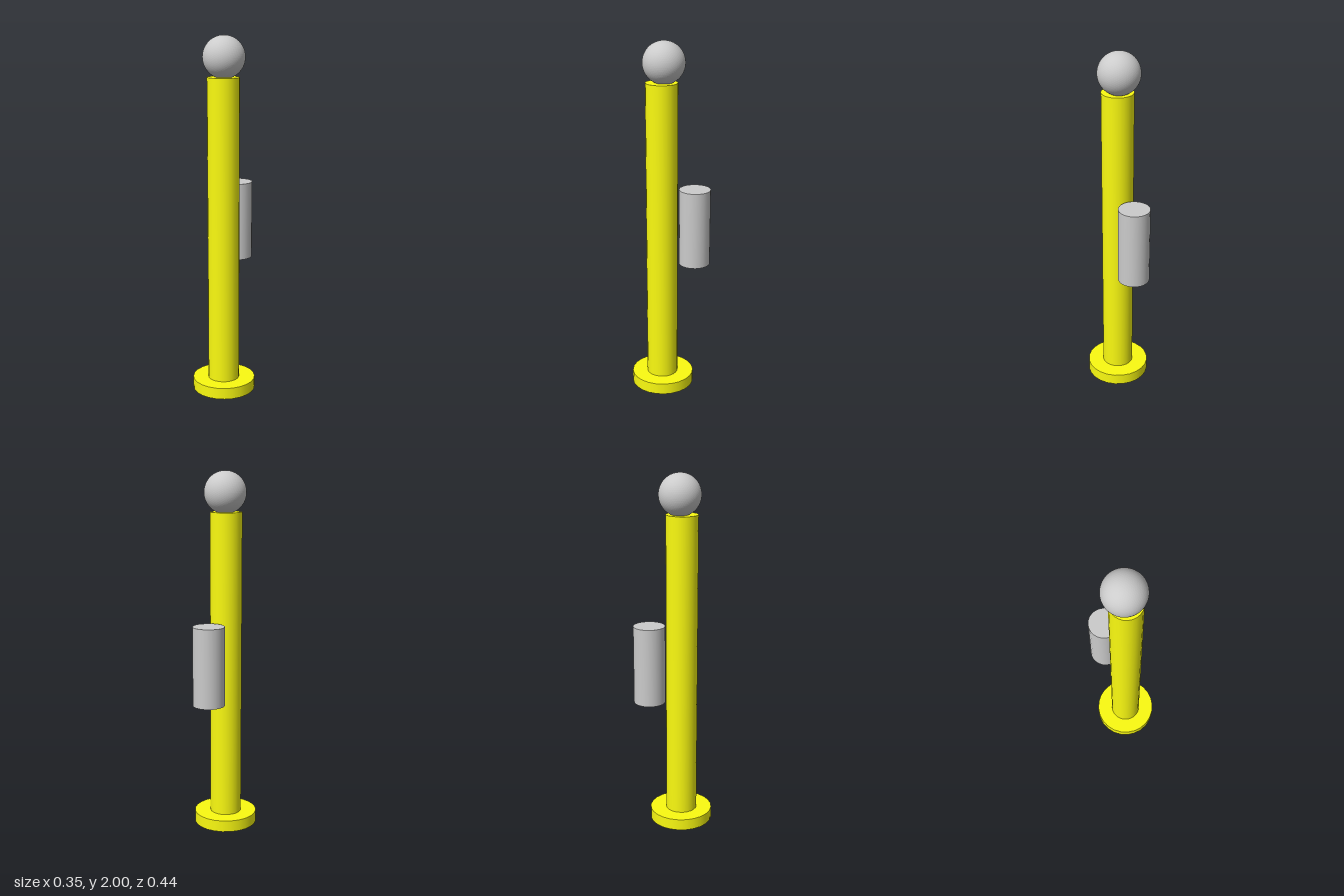
import * as THREE from 'three';

export function createModel() {
  const model = new THREE.Group();
  const yellow = new THREE.MeshStandardMaterial({ color: 0xfbfb11 });
  const grey = new THREE.MeshStandardMaterial({ color: 0xcccccc });

  // Upright cylinder spanning y0 to y1
  function column(name, radius, y0, y1, x, z, material) {
    const mesh = new THREE.Mesh(new THREE.CylinderGeometry(radius, radius, y1 - y0, 24), material);
    mesh.position.set(x, (y0 + y1) / 2, z);
    mesh.name = name;
    model.add(mesh);
  }

  // Round foot and tall post
  column('base', 0.177, 0, 0.065, 0, 0.04, yellow);
  column('post', 0.088, 0.065, 1.78, 0, 0.042, yellow);

  // Canister attached behind the post
  column('canister', 0.088, 0.74, 1.18, -0.064, -0.131, grey);

  // Finely faceted ball on top
  const ballMaterial = grey.clone();
  ballMaterial.flatShading = true;
  const ball = new THREE.Mesh(new THREE.IcosahedronGeometry(0.115, 12), ballMaterial);
  ball.position.set(-0.006, 1.885, 0.031);
  ball.name = 'ball';
  model.add(ball);

  return model;
}
